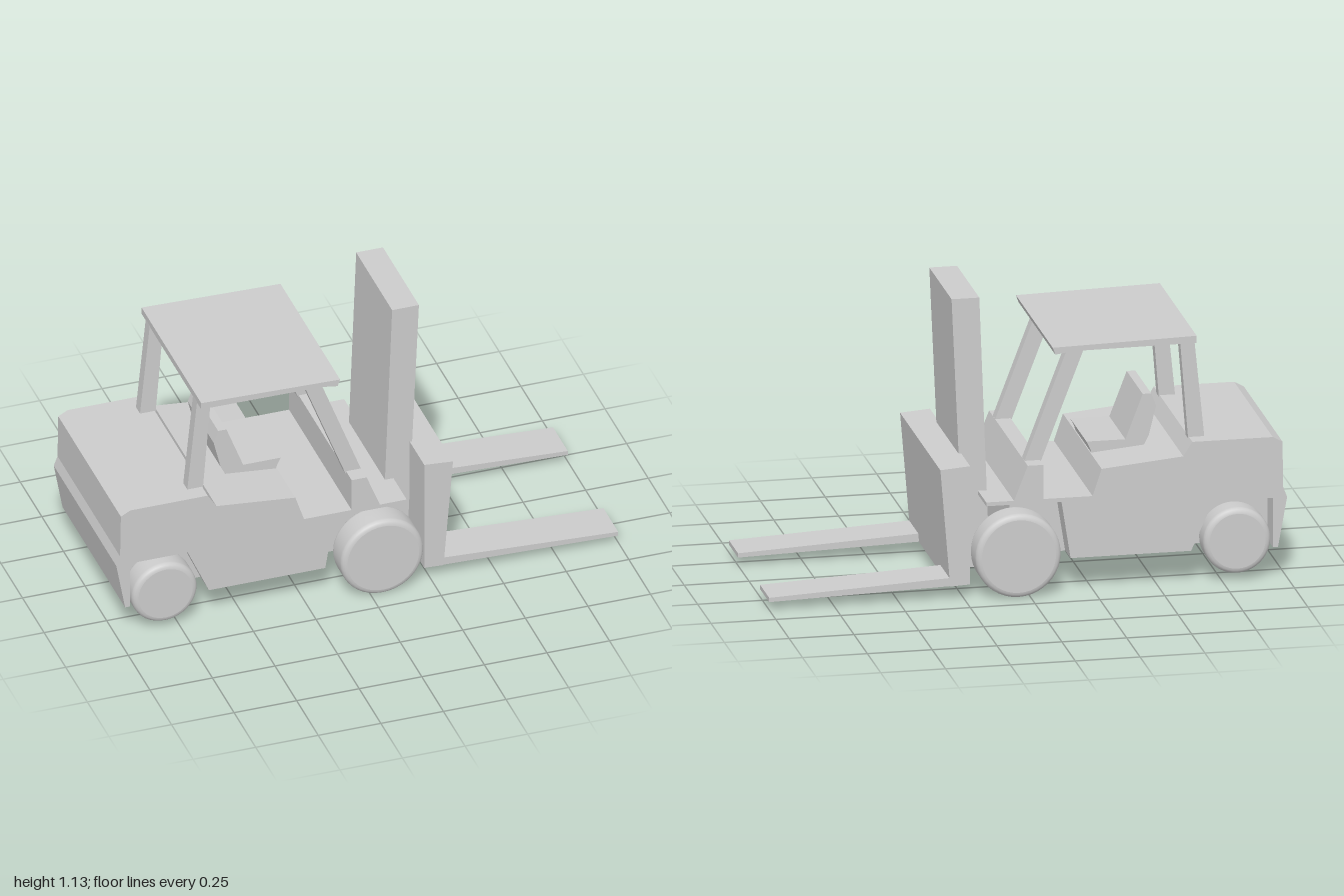
import * as THREE from 'three';

const material = new THREE.MeshStandardMaterial({ color: 0xcccccc, flatShading: true });
const smoothMaterial = new THREE.MeshStandardMaterial({ color: 0xcccccc });

// Side profile in x/y, extruded across z from z0 to z1
function slab(name, points, z0, z1) {
  const shape = new THREE.Shape(points.map(([x, y]) => new THREE.Vector2(x, y)));
  const geometry = new THREE.ExtrudeGeometry(shape, { depth: z1 - z0, bevelEnabled: false });
  geometry.translate(0, 0, z0);
  const mesh = new THREE.Mesh(geometry, material);
  mesh.name = name;
  return mesh;
}

// The same slab on both sides of the truck
function slabPair(name, points, z0, z1) {
  const pair = new THREE.Group();
  pair.name = name + 's';
  pair.add(slab(name + 'Near', points, z0, z1), slab(name + 'Far', points, -z1, -z0));
  return pair;
}

// Solid wheel with rounded shoulders, axle along z
function wheel(name, x, y, radius, z, width) {
  const h = width / 2, r = 0.022;
  const profile = [new THREE.Vector2(0, -h), new THREE.Vector2(radius - r, -h), new THREE.Vector2(radius - r, -h)];
  for (const side of [-1, 1]) {
    for (let i = 0; i <= 4; i++) {
      const a = (side < 0 ? i : 4 - i) / 4 * Math.PI / 2;
      profile.push(new THREE.Vector2(radius - r + r * Math.sin(a), side * (h - r + r * Math.cos(a))));
    }
  }
  profile.push(new THREE.Vector2(radius - r, h), new THREE.Vector2(0, h));
  const geometry = new THREE.LatheGeometry(profile, 40);
  geometry.rotateX(Math.PI / 2);
  const mesh = new THREE.Mesh(geometry, smoothMaterial);
  mesh.name = name;
  mesh.position.set(x, y, z);
  return mesh;
}

export function createModel() {
  const truck = new THREE.Group();
  truck.name = 'forkliftTruck';

  // Body: counterweight, engine cover, floor and front deck
  const upper = [
    [0.16, 0.355], [0.16, 0.37], [-0.25, 0.37], [-0.285, 0.475], [-0.6, 0.505], [-0.635, 0.56],
    [-0.945, 0.56], [-0.982, 0.54], [-0.985, 0.36], [-1, 0.32], [-0.965, 0.125],
  ];
  truck.add(slab('bodyCore', [...upper, [0.05, 0.13], [0.05, 0.355]], -0.26, 0.26));

  // Body sides with the wheel arches cut out
  truck.add(slabPair('bodySide', [
    ...upper, [-0.945, 0.125], [-0.945, 0.32], [-0.715, 0.32], [-0.63, 0.13],
    [-0.165, 0.13], [-0.13, 0.355],
  ], 0.26, 0.362));

  // Dashboard cowl
  truck.add(slab('cowl', [[-0.06, 0.365], [0.055, 0.365], [0, 0.505], [-0.06, 0.505]], -0.362, 0.362));

  // Driver's seat
  truck.add(slab('seat', [
    [-0.49, 0.49], [-0.29, 0.47], [-0.285, 0.49], [-0.27, 0.52], [-0.42, 0.52],
    [-0.487, 0.695], [-0.52, 0.695], [-0.538, 0.645], [-0.51, 0.53],
  ], -0.15, 0.15));

  // Overhead guard
  truck.add(slabPair('rearPillar', [[-0.695, 0.55], [-0.632, 0.55], [-0.6, 0.95], [-0.655, 0.95]], 0.25, 0.297));
  truck.add(slabPair('frontPillar', [[-0.06, 0.49], [0.005, 0.49], [-0.17, 0.95], [-0.236, 0.95]], 0.25, 0.297));
  truck.add(slab('roof', [
    [-0.655, 0.945], [-0.175, 0.942], [-0.11, 0.932], [-0.1, 0.96], [-0.655, 0.973],
  ], -0.345, 0.345));

  // Mast, carriage and forks
  truck.add(slab('mast', [[0.115, 0.07], [0.215, 0.07], [0.262, 1.133], [0.155, 1.133]], -0.208, 0.208));
  truck.add(slab('carriage', [[0.225, 0.055], [0.302, 0.051], [0.34, 0.513], [0.225, 0.522]], -0.377, 0.377));
  truck.add(slabPair('fork', [
    [0.225, 0.055], [1, 0.033], [1, 0.05], [0.305, 0.085], [0.225, 0.088],
  ], 0.206, 0.377));

  // Wheels
  for (const s of [-1, 1]) {
    const side = s > 0 ? 'Near' : 'Far';
    truck.add(wheel('frontWheel' + side, 0.046, 0.167, 0.165, s * 0.361, 0.122));
    truck.add(wheel('rearWheel' + side, -0.807, 0.16, 0.13, s * 0.317, 0.112));
  }
  return truck;
}
